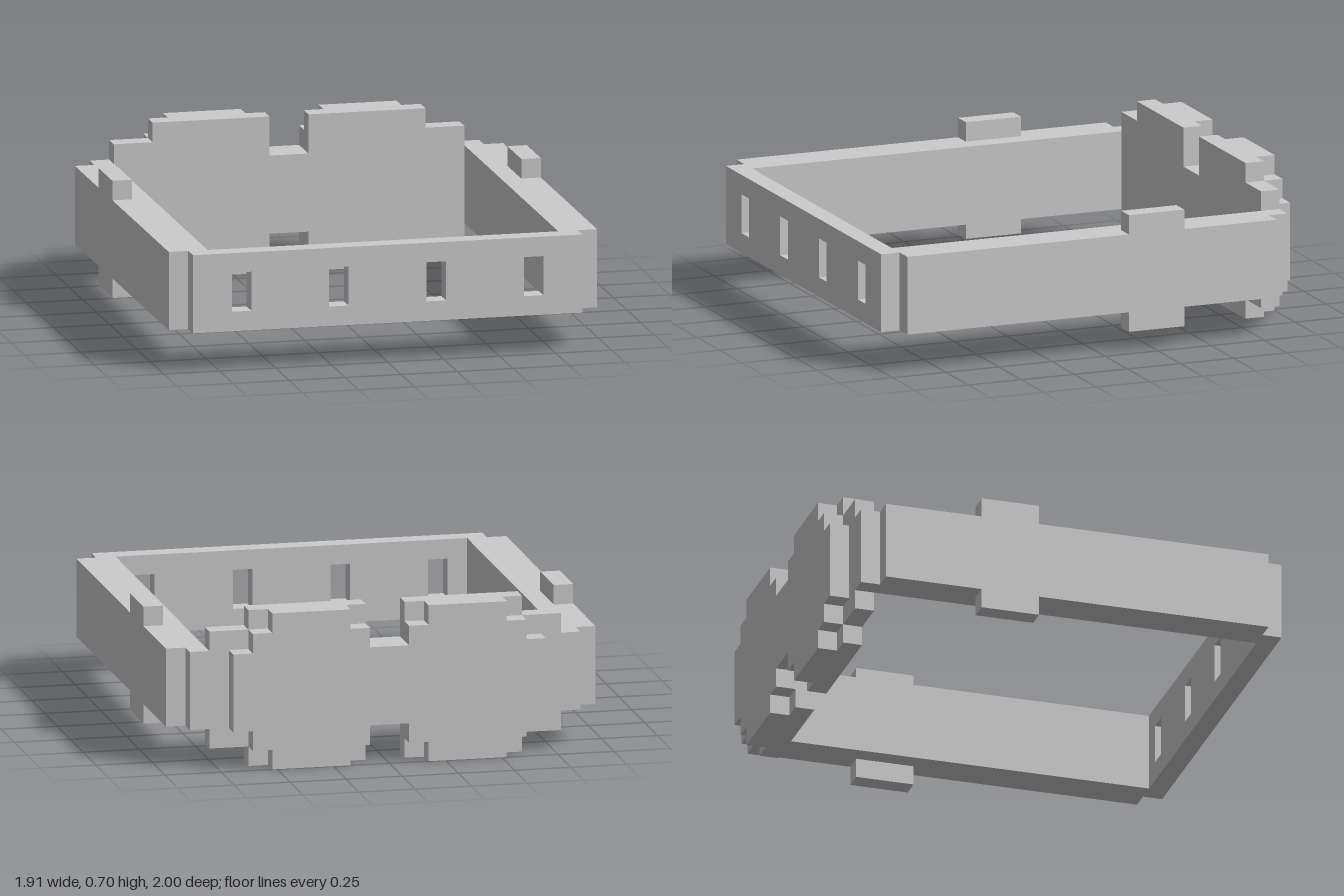
import * as THREE from 'three';

const U = 2 / 23; // one modelling unit: the ring is 23 units long
const MID = 4; // mid height in units
const material = new THREE.MeshStandardMaterial({ color: 0xcccccc, flatShading: true });

// Outline mirrored above and below mid height: steps are [start, halfHeight], closing at end
function steppedShape(steps, end) {
  const top = [];
  steps.forEach(([x, h], i) => {
    const next = i + 1 < steps.length ? steps[i + 1][0] : end;
    top.push([x, h], [next, h]);
  });
  const bottom = top.map(([x, h]) => [x, MID - h]);
  const upper = top.map(([x, h]) => [x, MID + h]).reverse();
  return new THREE.Shape([...bottom, ...upper].map(([x, y]) => new THREE.Vector2(x * U, y * U)));
}

function plate(name, shape, depth) {
  const geometry = new THREE.ExtrudeGeometry(shape, { depth: depth * U, bevelEnabled: false });
  const mesh = new THREE.Mesh(geometry, material);
  mesh.name = name;
  return mesh;
}

export function createModel() {
  const model = new THREE.Group();
  model.name = 'belt';

  // Front band with four rectangular slots
  const bandShape = steppedShape([[-10, 2]], 10);
  for (const x of [-8, -3, 2, 7]) {
    bandShape.holes.push(new THREE.Path(
      [[x, 3], [x, 5], [x + 1, 5], [x + 1, 3]].map(([a, b]) => new THREE.Vector2(a * U, b * U))
    ));
  }
  const band = plate('frontBand', bandShape, 1);
  band.position.z = 10.5 * U;
  model.add(band);

  // Side bands: plain inner layer, outer layer with a raised loop
  const innerSide = steppedShape([[-10.5, 2]], 9.5);
  const outerSide = steppedShape([[-10.5, 2], [1.5, 3], [4.5, 2]], 9.5);
  for (const [side, sign] of [['left', 1], ['right', -1]]) {
    const inner = plate(side + 'Band', innerSide, 1);
    const outer = plate(side + 'BandLoop', outerSide, 1);
    inner.position.x = (sign > 0 ? 9 : -10) * U;
    outer.position.x = (sign > 0 ? 10 : -11) * U;
    for (const mesh of [inner, outer]) {
      mesh.rotation.y = Math.PI / 2;
      model.add(mesh);
    }
  }

  // Rear buckle: wide inner layer and narrower stepped outer layer
  const innerBuckle = plate('buckleInner', steppedShape(
    [[-10, 2], [-9, 3], [-7, 4], [-1, 2], [1, 4], [7, 3], [9, 2]], 10), 1);
  innerBuckle.position.z = -10.5 * U;
  const outerBuckle = plate('buckleOuter', steppedShape(
    [[-8, 2], [-7, 3], [-6, 4], [-2, 3], [-1, 2], [1, 3], [2, 4], [6, 3], [7, 2]], 8), 1);
  outerBuckle.position.z = -11.5 * U;
  model.add(innerBuckle, outerBuckle);

  return model;
}
